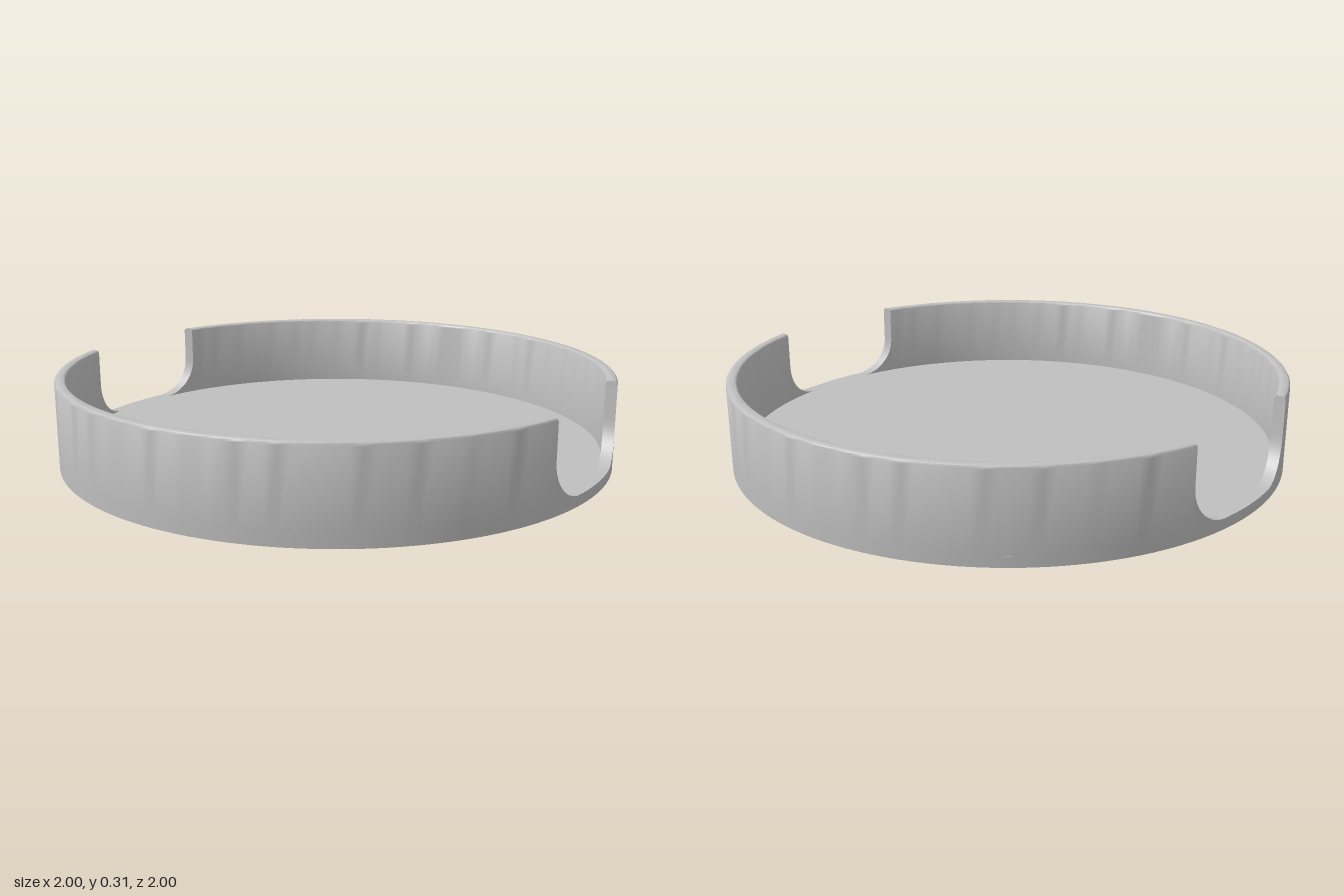
import * as THREE from 'three';
import { toCreasedNormals } from 'three/addons/utils/BufferGeometryUtils.js';

const FLOOR = 0.037, TOP = 0.313, OUTER = 1, INNER = 0.96;
const NOTCH = 0.28, FILLET = 0.14, ROUND = 0.012;

// Wall cross-section: up the outside, over the rounded rim, down the inside
function wallSection() {
  const pts = [[OUTER, FLOOR]];
  for (let i = 0; i <= 4; i++) {
    const a = (i / 4) * Math.PI / 2;
    pts.push([OUTER - ROUND + ROUND * Math.cos(a), TOP - ROUND + ROUND * Math.sin(a)]);
  }
  for (let i = 0; i <= 4; i++) {
    const a = (1 + i / 4) * Math.PI / 2;
    pts.push([INNER + ROUND + ROUND * Math.cos(a), TOP - ROUND + ROUND * Math.sin(a)]);
  }
  pts.push([INNER, FLOOR]);
  return pts;
}

// Columns along half the ring: filleted notch edge, upright end, full arc, then mirrored
function wallColumns() {
  const end = [];
  for (let i = 0; i <= 12; i++) {
    const a = (i / 12) * Math.PI / 2;
    const z = NOTCH - FILLET + FILLET * Math.sin(a);
    end.push({ angle: r => Math.asin(z / r), h: FLOOR + FILLET * (1 - Math.cos(a)) });
  }
  const cols = [...end];
  const steps = 64;
  for (let i = 0; i <= steps; i++) {
    cols.push({
      angle: r => {
        const start = Math.asin(NOTCH / r);
        return start + (Math.PI - 2 * start) * i / steps;
      },
      h: TOP,
    });
  }
  for (const c of end.reverse()) cols.push({ angle: r => Math.PI - c.angle(r), h: c.h });
  return cols;
}

function wallGeometry() {
  const section = wallSection();
  const rows = wallColumns().map(c => section.map(([r, y]) => {
    const a = c.angle(r);
    return new THREE.Vector3(r * Math.cos(a), Math.min(y, c.h), r * Math.sin(a));
  }));
  const pos = [];
  const tri = (a, b, c) => {
    const area = b.clone().sub(a).cross(c.clone().sub(a)).length();
    if (area > 1e-9) for (const p of [a, b, c]) pos.push(p.x, p.y, p.z);
  };
  for (let i = 0; i < rows.length - 1; i++) {
    for (let j = 0; j < section.length - 1; j++) {
      tri(rows[i][j], rows[i][j + 1], rows[i + 1][j]);
      tri(rows[i][j + 1], rows[i + 1][j + 1], rows[i + 1][j]);
    }
  }
  const g = new THREE.BufferGeometry();
  g.setAttribute('position', new THREE.Float32BufferAttribute(pos, 3));
  return toCreasedNormals(g, 0.6);
}

export function createModel() {
  const group = new THREE.Group();
  group.name = 'roundTray';
  const grey = new THREE.MeshStandardMaterial({ color: 0xbfbfbf });
  grey.name = 'light grey';

  // Flat disc floor
  const base = new THREE.Mesh(new THREE.CylinderGeometry(OUTER, OUTER, FLOOR, 160), grey);
  base.name = 'base';
  base.position.y = FLOOR / 2;
  group.add(base);

  // Two curved walls with a finger notch between them on each side
  const wall = wallGeometry();
  ['frontWall', 'backWall'].forEach((name, i) => {
    const mesh = new THREE.Mesh(wall, grey);
    mesh.name = name;
    mesh.rotation.y = i * Math.PI;
    group.add(mesh);
  });
  return group;
}
